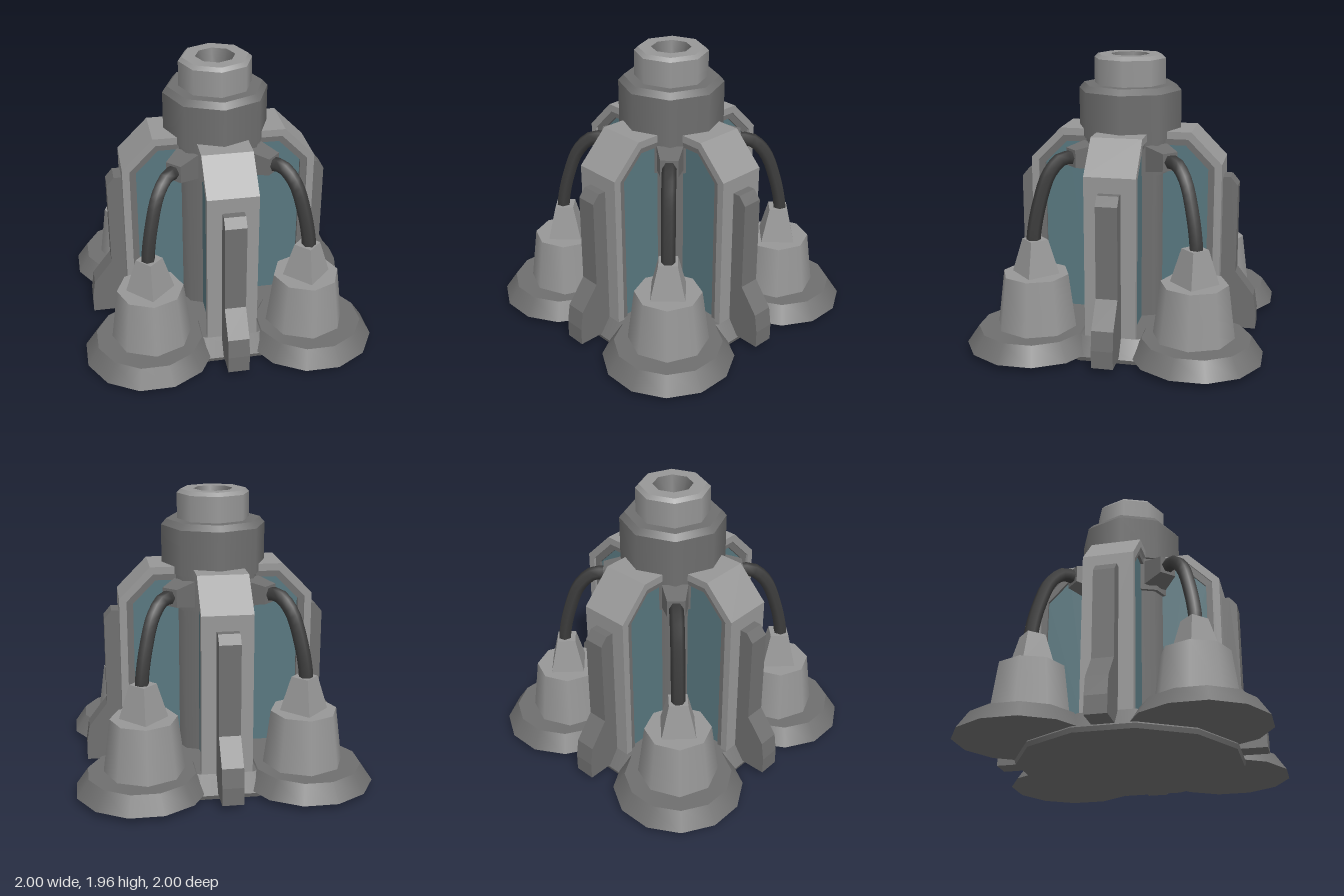
import * as THREE from 'three';
import { mergeGeometries } from 'three/addons/utils/BufferGeometryUtils.js';

function material(name, color, extra = {}) {
  return new THREE.MeshStandardMaterial({ name, color, ...extra });
}

// Turned solid whose rims stay sharp: every profile step is its own smooth band
function turned(points, sides, turn = 0) {
  const bands = [];
  for (let i = 0; i < points.length - 1; i++) {
    const pair = [points[i], points[i + 1]].map(([r, y]) => new THREE.Vector2(r, y));
    bands.push(new THREE.LatheGeometry(pair, sides, turn));
  }
  return mergeGeometries(bands);
}

// Side outline (distance from the axis, height) extruded to a centred width
function slab(outline, width) {
  const shape = new THREE.Shape(outline.map(([x, y]) => new THREE.Vector2(x, y)));
  const geometry = new THREE.ExtrudeGeometry(shape, { depth: width, bevelEnabled: false });
  return geometry.translate(0, 0, -width / 2);
}

// Bent rib line, moved inward by an inset
function ribLine(o) {
  return [[0.25, 1.46 - o], [0.455 - 0.41 * o, 1.46 - o],
    [0.667 - o, 1.245 - 0.41 * o], [0.667 - o, 0.1]];
}

function ribBand(outer, inner) {
  return [...ribLine(outer).reverse(), ...ribLine(inner)];
}

export function createModel() {
  const light = material('light grey metal', 0x979797);
  const mid = material('mid grey metal', 0x6f6f6f);
  const dark = material('dark rubber', 0x3c3c3c);
  const glass = material('teal glass', 0x58777f);

  const model = new THREE.Group();
  model.name = 'reactor';
  const add = (parent, name, geometry, mat) => {
    const mesh = new THREE.Mesh(geometry, mat);
    mesh.name = name;
    parent.add(mesh);
    return mesh;
  };

  // Central column
  add(model, 'basePlate', turned([[0, 0], [0.765, 0], [0.775, 0.03], [0.69, 0.15], [0, 0.15]],
    12, Math.PI / 12), mid);
  add(model, 'core', turned([[0.315, 0.14], [0.315, 1.17]], 8), mid);
  add(model, 'collar', turned([[0.3, 1.17], [0.34, 1.17], [0.34, 1.42]], 8), mid);
  add(model, 'head', turned([[0.2, 1.41], [0.36, 1.41], [0.36, 1.72], [0.325, 1.76], [0.2, 1.76]], 8), mid);
  add(model, 'cap', turned([[0.25, 1.75], [0.25, 1.935], [0.225, 1.96], [0.135, 1.96]], 8), light);
  add(model, 'capBore', turned([[0.135, 1.96], [0.08, 1.8], [0, 1.8]], 8), mid);

  // Geometry shared by the four sides
  const outerRib = slab(ribBand(0, 0.05), 0.345);
  const innerRib = slab(ribBand(0.05, 0.095), 0.31);
  const panel = slab([[0.25, 0.1], ...ribLine(0.095).reverse()], 0.27);
  const fin = slab([[0.6, 0.04], [0.92, 0.04], [0.92, 0.16], [0.9, 0.29], [0.77, 0.46],
    [0.77, 1.08], [0.72, 1.14], [0.6, 1.14]], 0.145);

  // Geometry shared by the four corner pods
  const skirt = turned([[0, 0.04], [0.45, 0.04], [0.368, 0.16], [0, 0.16]], 12, Math.PI / 12);
  const bell = turned([[0.277, 0.15], [0.227, 0.53], [0, 0.53]], 8);
  const nozzle = new THREE.CylinderGeometry(0.09, 0.165, 0.24, 4).toNonIndexed();
  nozzle.computeVertexNormals();
  const socket = new THREE.CylinderGeometry(0.085, 0.125, 0.16, 4).toNonIndexed();
  socket.rotateY(Math.PI / 4).rotateZ(-Math.PI / 2);
  socket.computeVertexNormals();
  const hosePath = new THREE.CatmullRomCurve3([[0.46, 1.29], [0.55, 1.29], [0.65, 1.2],
    [0.73, 1.0], [0.775, 0.8], [0.78, 0.7]].map(([x, y]) => new THREE.Vector3(x, y, 0)));
  const hose = new THREE.TubeGeometry(hosePath, 14, 0.048, 6);

  for (let i = 0; i < 4; i++) {
    // Rib with its glass sides and foot fin
    const side = new THREE.Group();
    side.name = `side${i + 1}`;
    side.rotation.y = i * Math.PI / 2;
    add(side, 'outerRib', outerRib, light);
    add(side, 'innerRib', innerRib, mid);
    add(side, 'glassPanel', panel, glass);
    add(side, 'fin', fin, mid);
    model.add(side);

    // Pod in the corner between two ribs
    const pod = new THREE.Group();
    pod.name = `pod${i + 1}`;
    pod.rotation.y = i * Math.PI / 2;
    add(pod, 'podSkirt', skirt, mid).position.set(0.565, 0, 0.565);
    add(pod, 'podBell', bell, light).position.set(0.542, 0, 0.542);
    add(pod, 'podNozzle', nozzle, light).position.set(0.542, 0.645, 0.542);

    // Hose from the collar socket down to the pod
    const feed = new THREE.Group();
    feed.name = 'feedLine';
    feed.rotation.y = -Math.PI / 4;
    add(feed, 'socket', socket, mid).position.set(0.4, 1.29, 0);
    add(feed, 'hose', hose, dark);
    pod.add(feed);
    model.add(pod);
  }
  return model;
}
